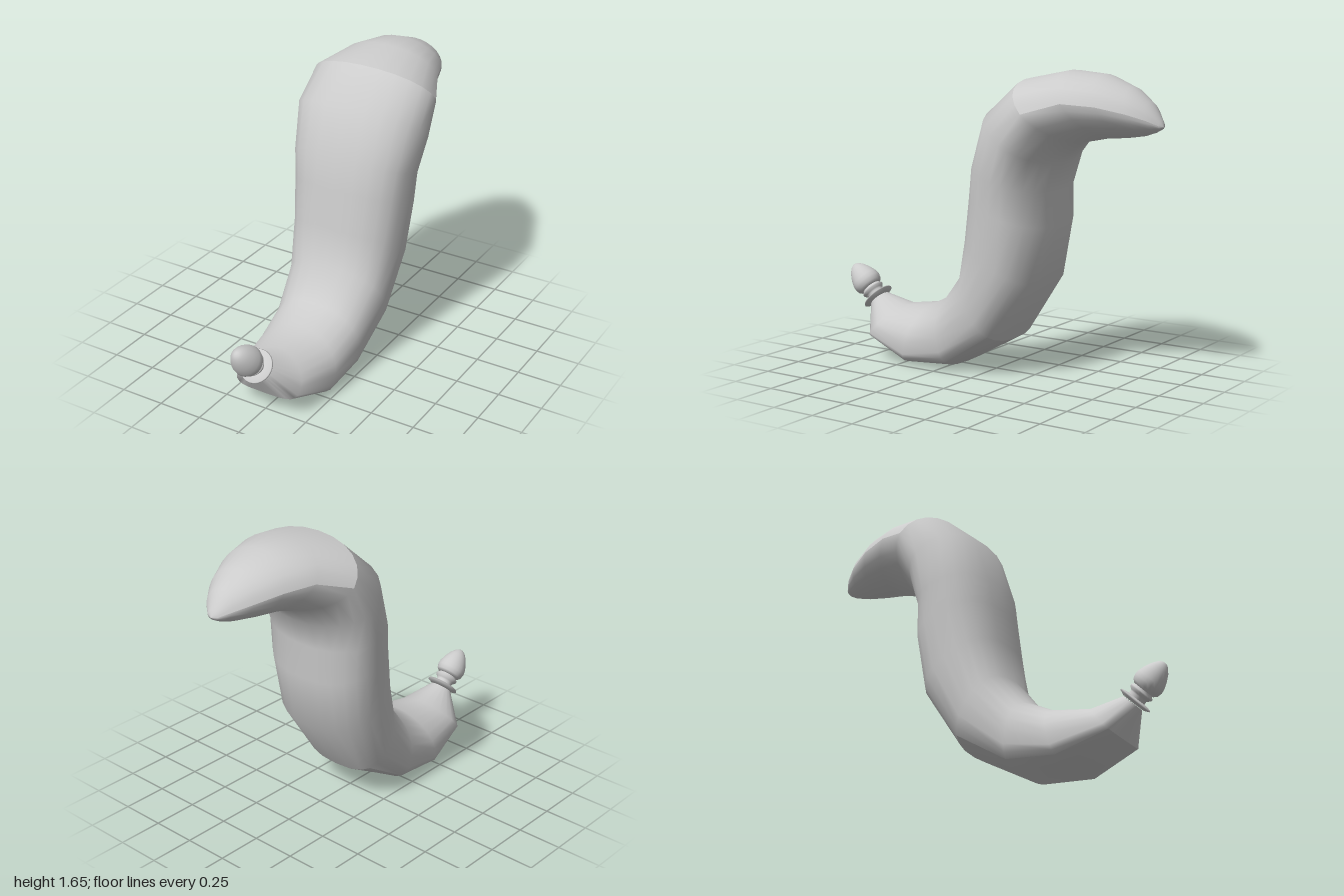
import * as THREE from 'three';

// Cross-sections from toe to tip:
// [front z, front y, back z, back y, half width, widest point (0 front..1 back), front exponent, back exponent]
const SECTIONS = [
  [0.77, 0.34, 0.85, 0.26, 0.065, 0.5, 2, 2],
  [0.60, 0.30, 0.76, 0.11, 0.195, 0.65, 1.7, 4],
  [0.40, 0.33, 0.48, 0.005, 0.25, 0.6, 2, 4],
  [0.26, 0.40, 0.19, 0.02, 0.265, 0.55, 2.2, 3.2],
  [0.13, 0.57, -0.12, 0.19, 0.295, 0.5, 2.3, 2.6],
  [0.098, 0.78, -0.34, 0.52, 0.32, 0.5, 2.4, 2.4],
  [0.065, 1.0, -0.39, 0.83, 0.34, 0.52, 2.4, 2.3],
  [0.04, 1.16, -0.38, 1.02, 0.355, 0.55, 2.4, 2.2],
  [-0.05, 1.44, -0.42, 1.17, 0.385, 0.58, 2.3, 2],
  [-0.24, 1.61, -0.53, 1.28, 0.37, 0.5, 2.1, 1.7],
  [-0.47, 1.655, -0.68, 1.31, 0.285, 0.45, 2, 1.6],
  [-0.66, 1.64, -0.80, 1.32, 0.225, 0.48, 2, 1.6],
  [-0.82, 1.58, -0.90, 1.335, 0.155, 0.52, 2, 1.6],
  [-0.92, 1.51, -0.96, 1.355, 0.09, 0.58, 2, 1.7],
  [-0.985, 1.42, -0.99, 1.372, 0.035, 0.6, 2, 2],
  [-1.0, 1.385, -1.0, 1.385, 0, 0.5, 2, 2],
];
const SEG = 24;
const CREASE = 9; // section where the head cap begins

// Point j on the rounded outline of a section
function outline([az, ay, bz, by, w, t, nf, nb], j) {
  const angle = (j / SEG) * Math.PI * 2;
  const s = Math.sin(angle), c = Math.cos(angle);
  const front = c > 0;
  const p = 2 / (front ? nf : nb);
  const k = Math.abs(c) < 1e-6 ? 0 : Math.abs(c) ** p;
  const mz = az + (bz - az) * t, my = ay + (by - ay) * t;
  const ez = front ? az : bz, ey = front ? ay : by;
  const x = Math.abs(s) < 1e-6 ? 0 : w * Math.sign(s) * Math.abs(s) ** p;
  return [x, my + (ey - my) * k, mz + (ez - mz) * k];
}

// Smooth surface made of the grid cells accepted by the test
function patch(name, material, accept) {
  const positions = [], index = [];
  for (const section of SECTIONS) {
    for (let j = 0; j < SEG; j++) positions.push(...outline(section, j));
  }
  for (let i = 0; i < SECTIONS.length - 1; i++) {
    for (let j = 0; j < SEG; j++) {
      if (!accept(i, j)) continue;
      const a = i * SEG + j, b = i * SEG + ((j + 1) % SEG);
      index.push(a, b, b + SEG, a, b + SEG, a + SEG);
    }
  }
  const geometry = new THREE.BufferGeometry();
  geometry.setAttribute('position', new THREE.Float32BufferAttribute(positions, 3));
  geometry.setIndex(index);
  geometry.computeVertexNormals();
  const mesh = new THREE.Mesh(geometry, material);
  mesh.name = name;
  return mesh;
}

export function createModel() {
  const group = new THREE.Group();
  group.name = 'curvedBody';
  const material = new THREE.MeshStandardMaterial({ color: 0xcccccc, side: THREE.DoubleSide });

  // Body with a creased sole under the toe and a creased cap on the head
  const isCap = (i, j) => i >= CREASE && (j < SEG / 4 || j >= SEG * 3 / 4);
  const isSole = (i, j) => i >= 1 && i < 4 && j >= SEG * 3 / 8 && j < SEG * 5 / 8;
  group.add(patch('body', material, (i, j) => !isCap(i, j) && !isSole(i, j)));
  group.add(patch('headCap', material, isCap));
  group.add(patch('sole', material, isSole));

  // Finial on the toe: collar disc, grooved neck and egg-shaped knob
  const addTurned = (name, points) => {
    const profile = points.map(([r, y]) => new THREE.Vector2(r, y));
    const mesh = new THREE.Mesh(new THREE.LatheGeometry(profile, 24), material);
    mesh.name = name;
    finial.add(mesh);
  };
  const finial = new THREE.Group();
  finial.name = 'finial';
  addTurned('collar', [[0, -0.012], [0.065, -0.012], [0.093, 0], [0.09, 0.008], [0.055, 0.014], [0, 0.014]]);
  addTurned('neck', [[0.05, 0], [0.048, 0.03], [0.056, 0.038], [0.066, 0.05], [0.066, 0.058], [0.055, 0.066], [0.055, 0.08]]);
  addTurned('knob', [[0, 0.07], [0.06, 0.07], [0.076, 0.085], [0.083, 0.11], [0.08, 0.135],
    [0.068, 0.17], [0.05, 0.205], [0.03, 0.23], [0.013, 0.241], [0, 0.243]]);
  finial.position.set(0, 0.31, 0.822);
  finial.rotation.x = THREE.MathUtils.degToRad(46);
  group.add(finial);

  return group;
}
